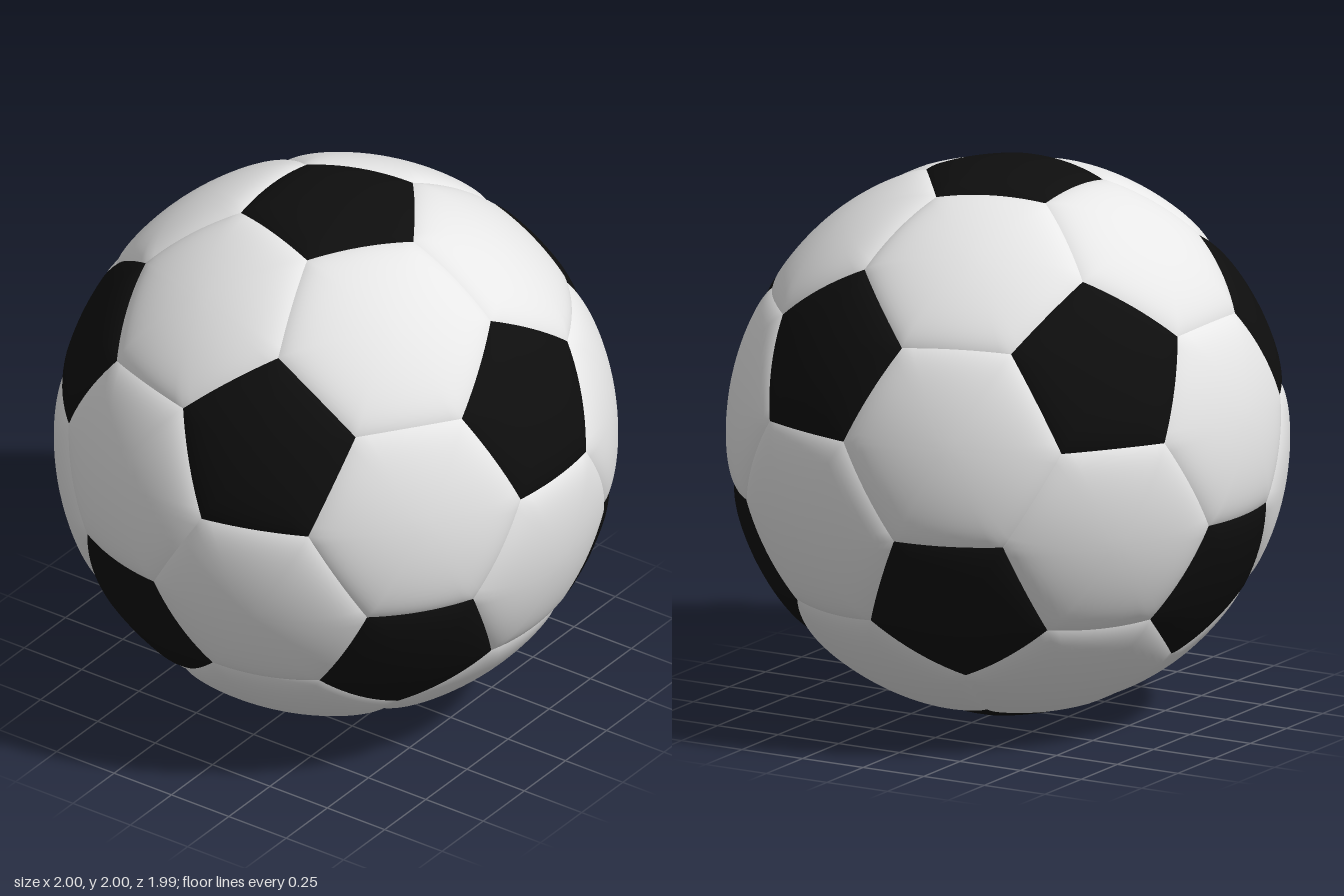
import * as THREE from 'three';

const RADIUS = 1;
const SEAM_DEPTH = 0.018; // how far the seams sink below the panel surface
const SEAM_WIDTH = 0.04;  // how quickly a panel rounds off towards its seam
const RINGS = 14;         // rings from panel centre to seam
const STEPS = 10;         // segments along each panel side

// The twelve directions of an icosahedron with a vertex at each pole
function icosahedronPoints() {
  const points = [new THREE.Vector3(0, 1, 0), new THREE.Vector3(0, -1, 0)];
  const h = 1 / Math.sqrt(5), r = 2 / Math.sqrt(5);
  for (let i = 0; i < 5; i++) {
    const a = (i * 2 * Math.PI) / 5, b = a + Math.PI / 5;
    points.push(new THREE.Vector3(r * Math.cos(a), h, r * Math.sin(a)));
    points.push(new THREE.Vector3(r * Math.cos(b), -h, r * Math.sin(b)));
  }
  return points;
}

// Orders corners counter-clockwise as seen from outside
function sortAround(centre, corners) {
  const u = corners[0].clone().projectOnPlane(centre).normalize();
  const v = centre.clone().cross(u);
  const angle = (p) => Math.atan2(p.dot(v), p.dot(u));
  return [...corners].sort((p, q) => angle(p) - angle(q));
}

// One puffed panel: rings of points from its centre out to its seam
function panelGeometry(corners) {
  const n = corners.length, count = n * STEPS;
  const middle = corners.reduce((s, p) => s.add(p), new THREE.Vector3()).divideScalar(n);
  const ring = sortAround(middle.clone().normalize(), corners);
  const inradius = ring[0].clone().add(ring[1]).multiplyScalar(0.5).distanceTo(middle);
  const positions = [], index = [];
  const addPoint = (p, s) => {
    const drop = SEAM_DEPTH * Math.exp((-(1 - s) * inradius) / SEAM_WIDTH);
    p.setLength(RADIUS - drop);
    positions.push(p.x, p.y + RADIUS, p.z);
  };
  addPoint(middle.clone(), 0);
  for (let i = 1; i <= RINGS; i++) {
    const s = 1 - Math.pow(1 - i / RINGS, 1.6);
    for (let j = 0; j < count; j++) {
      const side = Math.floor(j / STEPS);
      const edge = ring[side].clone().lerp(ring[(side + 1) % n], (j % STEPS) / STEPS);
      addPoint(middle.clone().lerp(edge, s), s);
    }
  }
  for (let j = 0; j < count; j++) {
    const k = (j + 1) % count;
    index.push(0, 1 + j, 1 + k);
    for (let i = 0; i < RINGS - 1; i++) {
      const a = 1 + i * count, b = a + count;
      index.push(a + j, b + j, b + k, a + j, b + k, a + k);
    }
  }
  const geometry = new THREE.BufferGeometry();
  geometry.setAttribute('position', new THREE.Float32BufferAttribute(positions, 3));
  geometry.setIndex(index);
  geometry.computeVertexNormals();
  return geometry;
}

export function createModel() {
  const black = new THREE.MeshStandardMaterial({ color: 0x0e0e0e });
  black.name = 'black';
  const white = new THREE.MeshStandardMaterial({ color: 0xe7e7e7 });
  white.name = 'white';

  const ball = new THREE.Group();
  ball.name = 'ball';
  const addPanel = (name, corners, material) => {
    const mesh = new THREE.Mesh(panelGeometry(corners), material);
    mesh.name = name;
    ball.add(mesh);
  };

  const points = icosahedronPoints();
  const near = (p, q) => p !== q && p.distanceTo(q) < 1.2;
  const third = (p, q) => p.clone().lerp(q, 1 / 3);

  // Black pentagons, one around each icosahedron point
  for (const p of points) {
    addPanel('pentagonPanel', points.filter((q) => near(p, q)).map((q) => third(p, q)), black);
  }

  // White hexagons, one in each icosahedron face
  points.forEach((a, i) => points.forEach((b, j) => points.forEach((c, k) => {
    if (i < j && j < k && near(a, b) && near(b, c) && near(a, c)) {
      const corners = [third(a, b), third(b, a), third(b, c), third(c, b), third(c, a), third(a, c)];
      addPanel('hexagonPanel', corners, white);
    }
  })));

  return ball;
}
